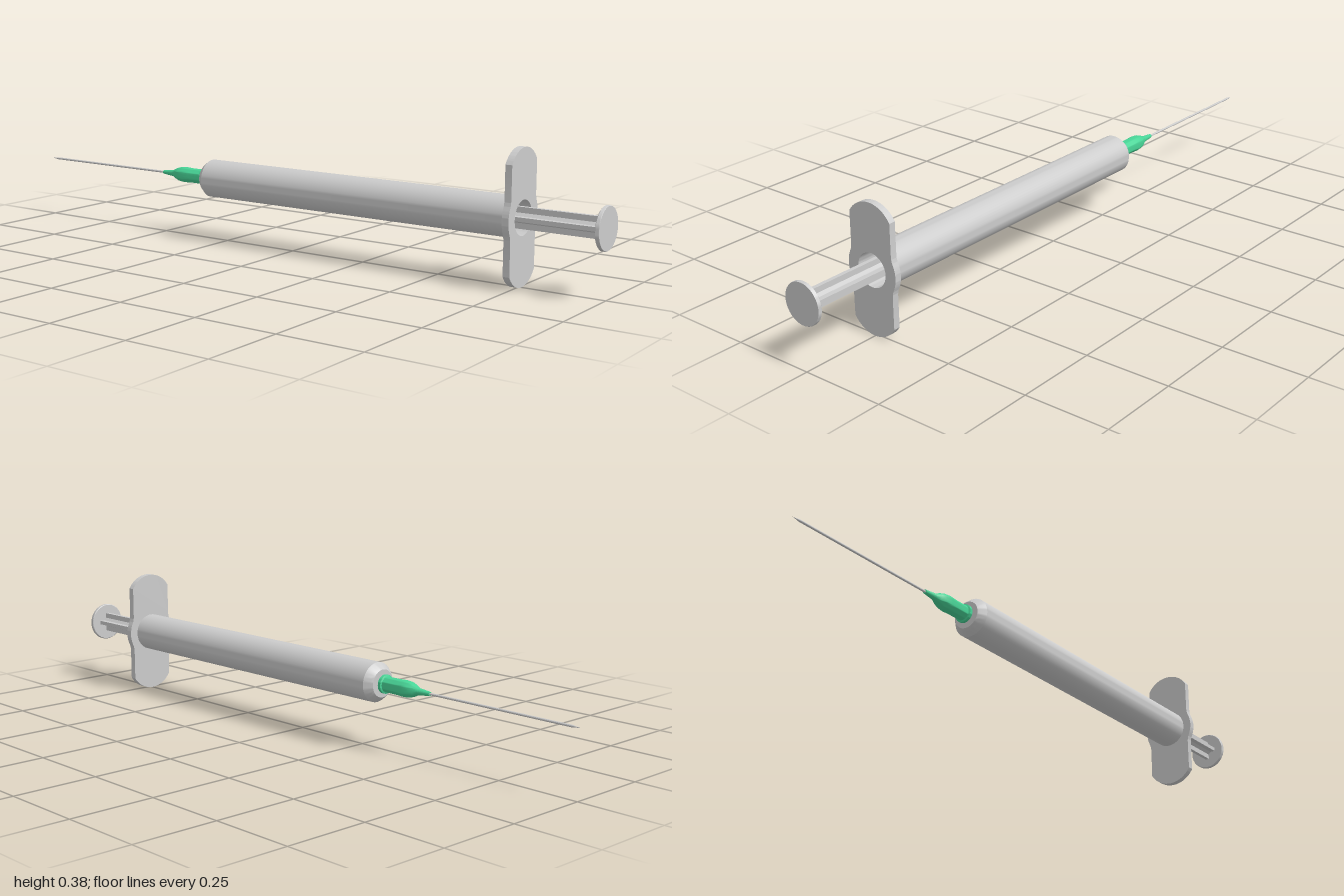
import * as THREE from 'three';
import { toCreasedNormals } from 'three/addons/utils/BufferGeometryUtils.js';

const AXIS_Y = 0.19;
const grey = new THREE.MeshStandardMaterial({ color: 0xcccccc });
const green = new THREE.MeshStandardMaterial({ color: 0x48d597 });

export function createModel() {
  const group = new THREE.Group();

  function add(name, geometry, material = grey) {
    const mesh = new THREE.Mesh(toCreasedNormals(geometry, 0.6), material);
    mesh.name = name;
    mesh.position.y = AXIS_Y;
    group.add(mesh);
  }

  // Turned part along x; profile is a list of [x, radius]
  function turned(name, profile, material, sides = 48) {
    const points = profile.map(([x, r]) => new THREE.Vector2(r, x));
    add(name, new THREE.LatheGeometry(points, sides).rotateZ(-Math.PI / 2), material);
  }

  // Shape drawn across the axis, extruded from x0 to x1
  function extruded(name, shape, x0, x1) {
    const geometry = new THREE.ExtrudeGeometry(shape, { depth: x1 - x0, bevelEnabled: false, curveSegments: 24 });
    add(name, geometry.rotateY(Math.PI / 2).translate(x0, 0, 0));
  }

  // Needle with a pointed tip
  turned('needle', [[-1, 0], [-0.975, 0.0035], [-0.49, 0.0035]], grey, 16);

  // Coloured hub: slim nose, swelling body, collar
  turned('needleHub', [
    [-0.505, 0], [-0.505, 0.006], [-0.465, 0.01], [-0.45, 0.017], [-0.435, 0.022], [-0.415, 0.024],
    [-0.39, 0.0225], [-0.345, 0.0225], [-0.343, 0.027], [-0.334, 0.027], [-0.334, 0],
  ], green);

  // Hollow barrel with chamfered shoulder and nozzle
  turned('barrel', [
    [-0.36, 0], [-0.36, 0.018], [-0.328, 0.018], [-0.328, 0.04], [-0.322, 0.046], [-0.306, 0.0575],
    [0.745, 0.0575], [0.745, 0.049], [-0.29, 0.049], [-0.29, 0],
  ]);

  // Finger flange: rounded ends, bulged waist, central bore
  const w = 0.071, end = 0.15, R = 0.083;
  const endAngle = Math.asin(w / R);
  const flange = new THREE.Shape();
  for (const s of [1, -1]) {
    flange[s === 1 ? 'moveTo' : 'lineTo'](s * w, -s * end);
    flange.lineTo(s * w, -s * 0.06);
    flange.quadraticCurveTo(s * w, -s * 0.047, s * 0.0755, -s * 0.037);
    flange.quadraticCurveTo(s * 0.0925, 0, s * 0.0755, s * 0.037);
    flange.quadraticCurveTo(s * w, s * 0.047, s * w, s * 0.06);
    flange.lineTo(s * w, s * end);
    const mid = s * Math.PI / 2;
    flange.absarc(0, s * (0.19 - R), R, mid - endAngle, mid + endAngle, false);
  }
  flange.holes.push(new THREE.Path().absarc(0, 0, 0.049, 0, Math.PI * 2, true));
  extruded('fingerFlange', flange, 0.738, 0.758);

  // Cross-ribbed plunger rod
  const arm = 0.03, t = 0.006;
  const cross = new THREE.Shape();
  for (let i = 0; i < 4; i++) {
    const c = Math.round(Math.cos(i * Math.PI / 2)), s = Math.round(Math.sin(i * Math.PI / 2));
    [[arm, -t], [arm, t], [0.014, t], [t, 0.014]].forEach(([x, y], k) => {
      cross[i + k === 0 ? 'moveTo' : 'lineTo'](x * c - y * s, x * s + y * c);
    });
  }
  extruded('plungerRod', cross, -0.25, 0.99);

  // Stopper inside the barrel and thumb disc at the end
  turned('plungerStopper', [[-0.285, 0], [-0.27, 0.048], [-0.235, 0.048], [-0.235, 0]]);
  turned('thumbRest', [[0.988, 0], [0.988, 0.058], [0.99, 0.06], [0.998, 0.06], [1, 0.059], [1, 0]]);

  return group;
}
